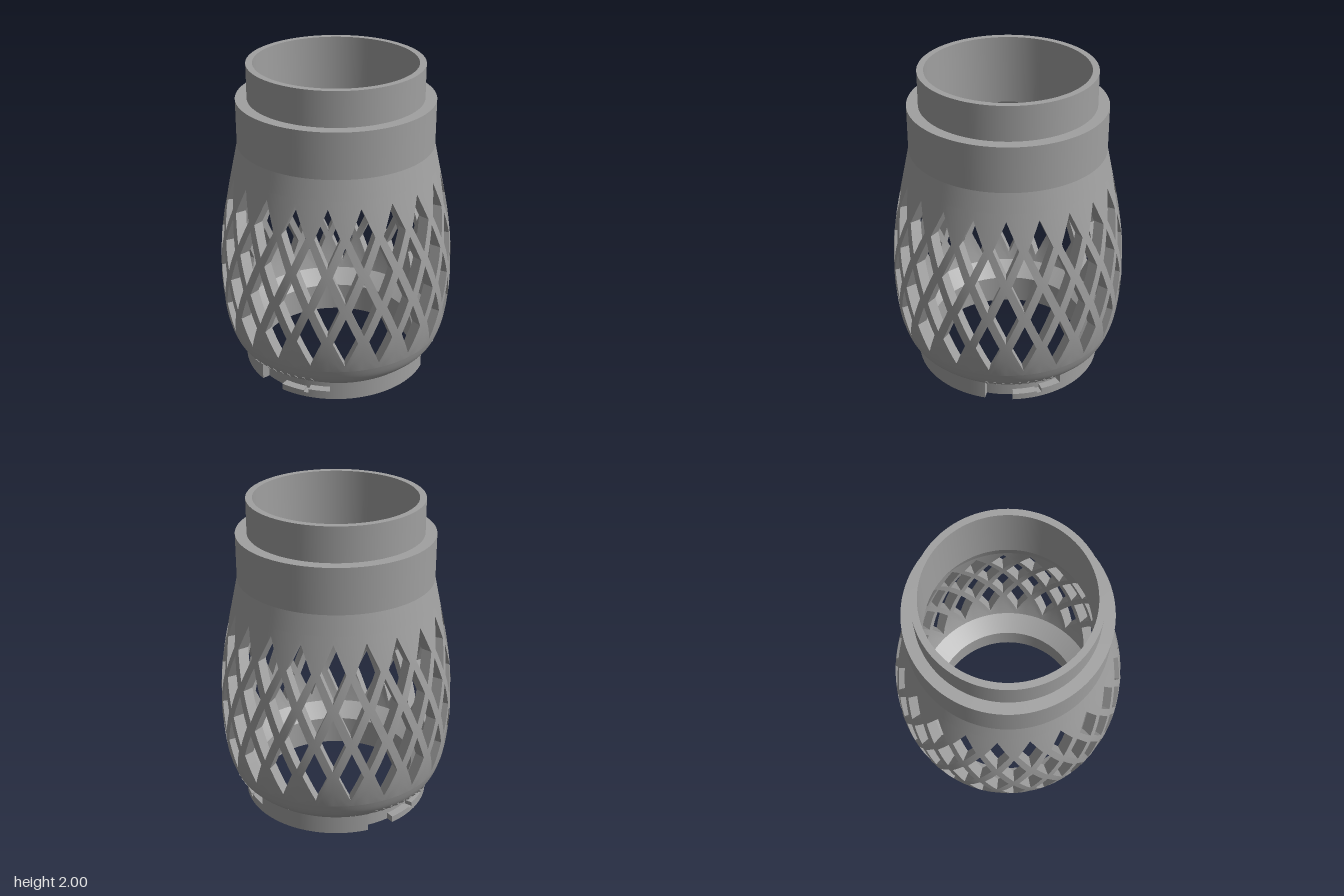
import * as THREE from 'three';
import { mergeGeometries, mergeVertices } from 'three/addons/utils/BufferGeometryUtils.js';

const RAD = Math.PI / 180;
const COUNT = 21;                     // diamonds per row
const STEP = Math.PI / COUNT;         // half a cell, as an angle
const CELL_H = 0.222, HOLE_H = 0.175, HOLE_W = 0.075, WALL = 0.07;
const ROW0 = 0.49, ROWS = 4;
const BAND_LOW = ROW0 - CELL_H, BAND_TOP = ROW0 + ROWS * CELL_H;
const SEGMENTS = COUNT * 6;

// Bulging outer silhouette: x is the radius, y the height
const silhouette = new THREE.SplineCurve([
  [0.595, 0.12], [0.655, 0.18], [0.692, 0.268], [0.714, 0.36], [0.73, 0.5], [0.735, 0.65],
  [0.726, 0.85], [0.707, 1.0], [0.678, 1.16], [0.641, 1.33], [0.605, 1.5],
].map(p => new THREE.Vector2(...p))).getPoints(120);

function outerRadius(y) {
  let i = 1;
  while (i < silhouette.length - 1 && silhouette[i].y < y) i++;
  const a = silhouette[i - 1], b = silhouette[i];
  return a.x + (b.x - a.x) * (y - a.y) / (b.y - a.y);
}
const innerRadius = y => outerRadius(y) - WALL;

const polar = (r, angle, y) => [r * Math.sin(angle), y, r * Math.cos(angle)];

// Grid patch from a rule (u, v) -> point, facing u cross v
function grid(rule, nu, nv, flip = false) {
  const pos = [], index = [];
  for (let j = 0; j <= nv; j++) {
    for (let i = 0; i <= nu; i++) pos.push(...rule(i / nu, j / nv));
  }
  for (let j = 0; j < nv; j++) {
    for (let i = 0; i < nu; i++) {
      const a = j * (nu + 1) + i, b = a + 1, d = a + nu + 1, c = d + 1;
      index.push(...(flip ? [a, d, b, b, d, c] : [a, b, d, b, c, d]));
    }
  }
  const g = new THREE.BufferGeometry();
  g.setAttribute('position', new THREE.Float32BufferAttribute(pos, 3));
  g.setIndex(index);
  return g;
}

// Turned surface; upward profiles face outwards
function turned(points, start = Math.PI / 2, length = Math.PI * 2, segments = SEGMENTS) {
  const pts = points.map(p => p.isVector2 ? p : new THREE.Vector2(...p));
  const g = new THREE.LatheGeometry(pts, segments, start, length);
  g.deleteAttribute('uv');
  return g;
}
// Same, with a hard edge at each profile point
const turnedSharp = (points, ...rest) =>
  points.slice(1).map((p, i) => turned([points[i], p], ...rest));

// Solid arc with a counter-clockwise (radius, height) section
function arcBlock(from, to, section) {
  const a0 = from * RAD, a1 = to * RAD;
  const segments = Math.max(2, Math.round((to - from) / 3));
  const parts = turnedSharp([...section, section[0]], a0, a1 - a0, segments);
  const shape = new THREE.Shape(section.map(p => new THREE.Vector2(...p)));
  for (const [angle, flip] of [[a0, false], [a1, true]]) {
    const cap = new THREE.ShapeGeometry(shape);
    cap.deleteAttribute('uv');
    cap.rotateY(angle - Math.PI / 2);
    if (flip) cap.index.array.reverse();
    cap.computeVertexNormals();
    parts.push(cap);
  }
  return parts;
}

// Diamond corners, counter-clockwise from outside
const CORNERS = [[1, 0], [0, 1], [-1, 0], [0, -1]];
function along(k, s) {
  const a = CORNERS[k], b = CORNERS[(k + 1) % 4];
  return [a[0] + (b[0] - a[0]) * s, a[1] + (b[1] - a[1]) * s];
}

function latticeParts() {
  const outer = [], inner = [], walls = [];
  const skins = [[outer, outerRadius, false], [inner, innerRadius, true]];
  for (let row = 0; row < ROWS; row++) {
    const cy = ROW0 + row * CELL_H;
    for (let n = 0; n < COUNT; n++) {
      const ca = Math.PI / 2 + (2 * n + row % 2) * STEP;
      const holePoint = (k, s, radius) => {
        const [dx, dy] = along(k, s), y = cy + dy * HOLE_H;
        return [ca + Math.asin(HOLE_W * dx / radius(y)), y];
      };
      for (let k = 0; k < 4; k++) {
        // Strut faces between the hole and the cell border
        for (const [list, radius, flip] of skins) {
          list.push(grid((t, s) => {
            const [dx, dy] = along(k, s), [ha, hy] = holePoint(k, s, radius);
            const a = ha + (ca + dx * STEP - ha) * t, y = hy + (cy + dy * CELL_H - hy) * t;
            return polar(radius(y), a, y);
          }, 1, 3, flip));
        }
        // Cut faces through the wall
        const wall = grid((s, t) => {
          const radius = t < 0.5 ? outerRadius : innerRadius;
          const [a, y] = holePoint(k, s, radius);
          return polar(radius(y), a, y);
        }, 3, 1);
        wall.computeVertexNormals();
        walls.push(wall);
      }
    }
  }
  // Triangles that level the zigzag at both ends of the lattice
  for (let n = 0; n < COUNT; n++) {
    for (const [list, radius, flip] of skins) {
      for (const top of [true, false]) {
        const a0 = Math.PI / 2 + (2 * n + (top ? 1 : 0)) * STEP;
        list.push(grid((u, v) => {
          const dip = CELL_H * (1 - Math.abs(1 - 2 * u));
          const y = top ? BAND_TOP - dip * (1 - v) : BAND_LOW + dip * v;
          return polar(radius(y), a0 + u * 2 * STEP, y);
        }, 6, 2, flip));
      }
    }
  }
  const smooth = list => {
    const g = mergeVertices(mergeGeometries(list), 1e-4);
    g.computeVertexNormals();
    return g;
  };
  return { outer: smooth(outer), inner: smooth(inner), walls: mergeGeometries(walls) };
}

export function createModel() {
  const group = new THREE.Group();
  const grey = new THREE.MeshStandardMaterial({ color: 0xa0a0a0 });
  grey.name = 'grey';
  const add = (name, geometry) => {
    const mesh = new THREE.Mesh(geometry, grey);
    mesh.name = name;
    group.add(mesh);
  };

  // Diamond lattice
  const lattice = latticeParts();
  add('latticeOutside', lattice.outer);
  add('latticeInside', lattice.inner);
  add('latticeHoleWalls', lattice.walls);

  // Solid shell below the lattice, starting above the bayonet slots
  const between = (lo, hi) => [
    [outerRadius(lo), lo], ...silhouette.filter(p => p.y > lo + 0.002 && p.y < hi - 0.002), [outerRadius(hi), hi],
  ];
  add('lowerShell', mergeGeometries([
    turned(between(0.14, BAND_LOW)),
    turned([[0.545, 0.14], [outerRadius(0.14), 0.14]]),
    ...turnedSharp([[innerRadius(BAND_LOW), BAND_LOW], [0.5, 0.19], [0.5, 0], [0.545, 0], [0.545, 0.14]]),
  ]));

  // Shoulder and stepped neck
  add('shoulder', turned(between(BAND_TOP, 1.5)));
  add('neck', mergeGeometries(turnedSharp([
    [0.605, 1.5], [0.605, 1.785], [0.535, 1.785], [0.535, 2], [0.495, 2], [0.495, 1.56],
    [innerRadius(BAND_TOP), BAND_TOP],
  ])));

  // Bottom collar with three bayonet slots, each open at one end
  const collar = [], ribs = [];
  const lip = h => [[0.545, 0], [0.595, 0], [0.595, h], [0.545, h]];
  for (let i = 0; i < 3; i++) {
    const a = 51 + i * 120;
    collar.push(
      ...arcBlock(a + 48, a + 120, [[0.545, 0], [0.595, 0], [0.595, 0.12], [outerRadius(0.14), 0.14], [0.545, 0.14]]),
      ...arcBlock(a + 17, a + 32, lip(0.042)),
      ...arcBlock(a + 32, a + 35, lip(0.03)),
      ...arcBlock(a + 35, a + 48, lip(0.057)),
    );
    // Small grip ribs above the slot
    for (let k = 0; k < 9; k++) {
      const b = a + 2 + k * 4.5;
      ribs.push(...arcBlock(b, b + 1.2, [[0.62, 0.16], [0.645, 0.16], [0.664, 0.185], [0.64, 0.185]]));
    }
  }
  add('bayonetCollar', mergeGeometries(collar));
  add('gripRibs', mergeGeometries(ribs));

  return group;
}
